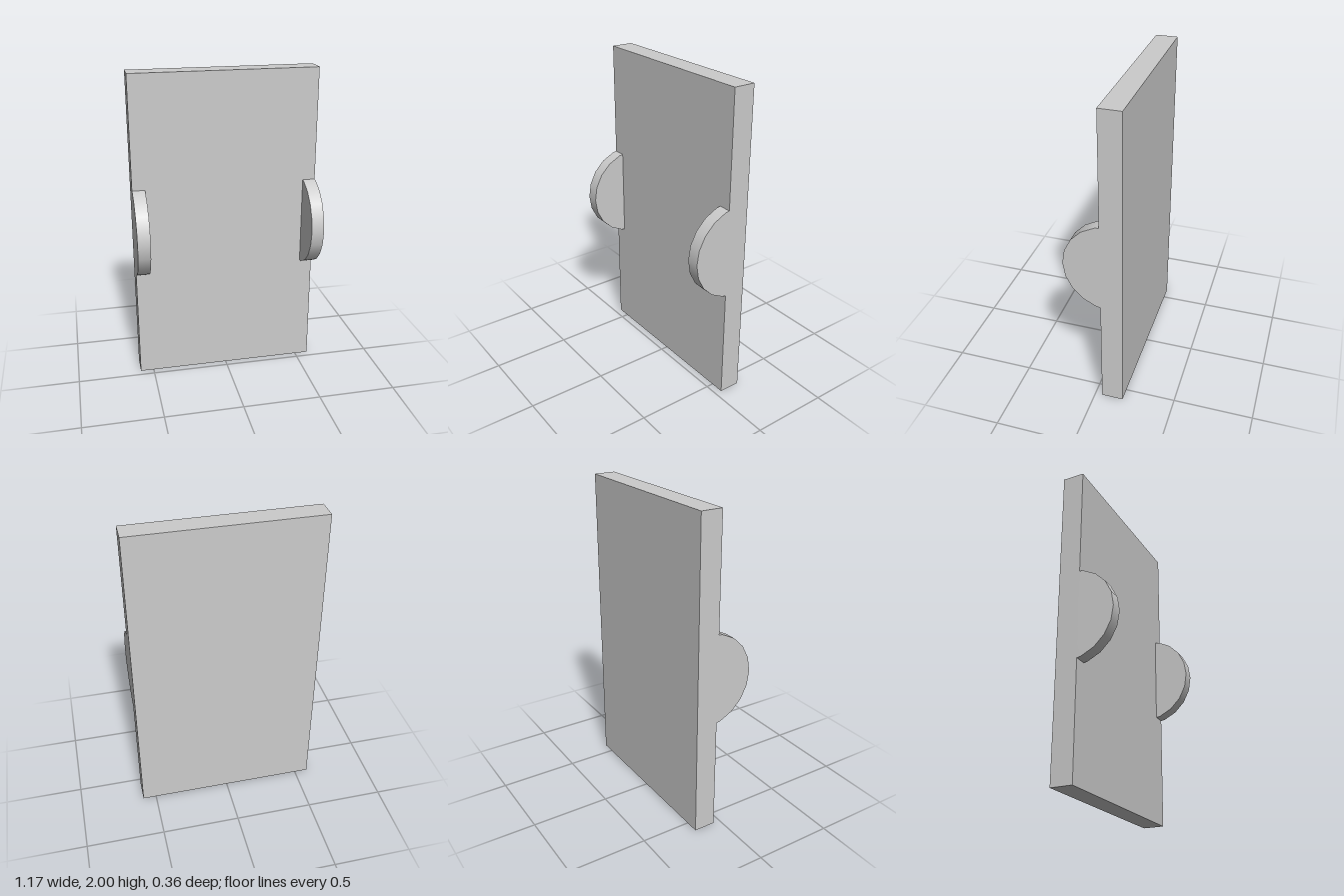
import * as THREE from 'three';

export function createModel() {
  const group = new THREE.Group();
  const material = new THREE.MeshStandardMaterial({ color: 0xcccccc });
  const width = 1.174, thickness = 0.137, backZ = -0.182;

  // Flat upright slab
  const panel = new THREE.Mesh(new THREE.BoxGeometry(width, 2, thickness), material);
  panel.name = 'panel';
  panel.position.set(0, 1, backZ + thickness / 2);
  group.add(panel);

  // Half-round tabs flush with the side edges, their flat backs sunk into the slab
  const radius = 0.292, tabWidth = 0.08;
  const tabGeometry = new THREE.CylinderGeometry(radius, radius, tabWidth, 10, 1, false, -Math.PI / 2, Math.PI);
  tabGeometry.rotateZ(Math.PI / 2);
  for (const side of [-1, 1]) {
    const tab = new THREE.Mesh(tabGeometry, material);
    tab.name = side > 0 ? 'leftTab' : 'rightTab';
    tab.position.set(side * (width - tabWidth) / 2, 1.003, 0.182 - radius);
    group.add(tab);
  }
  return group;
}
